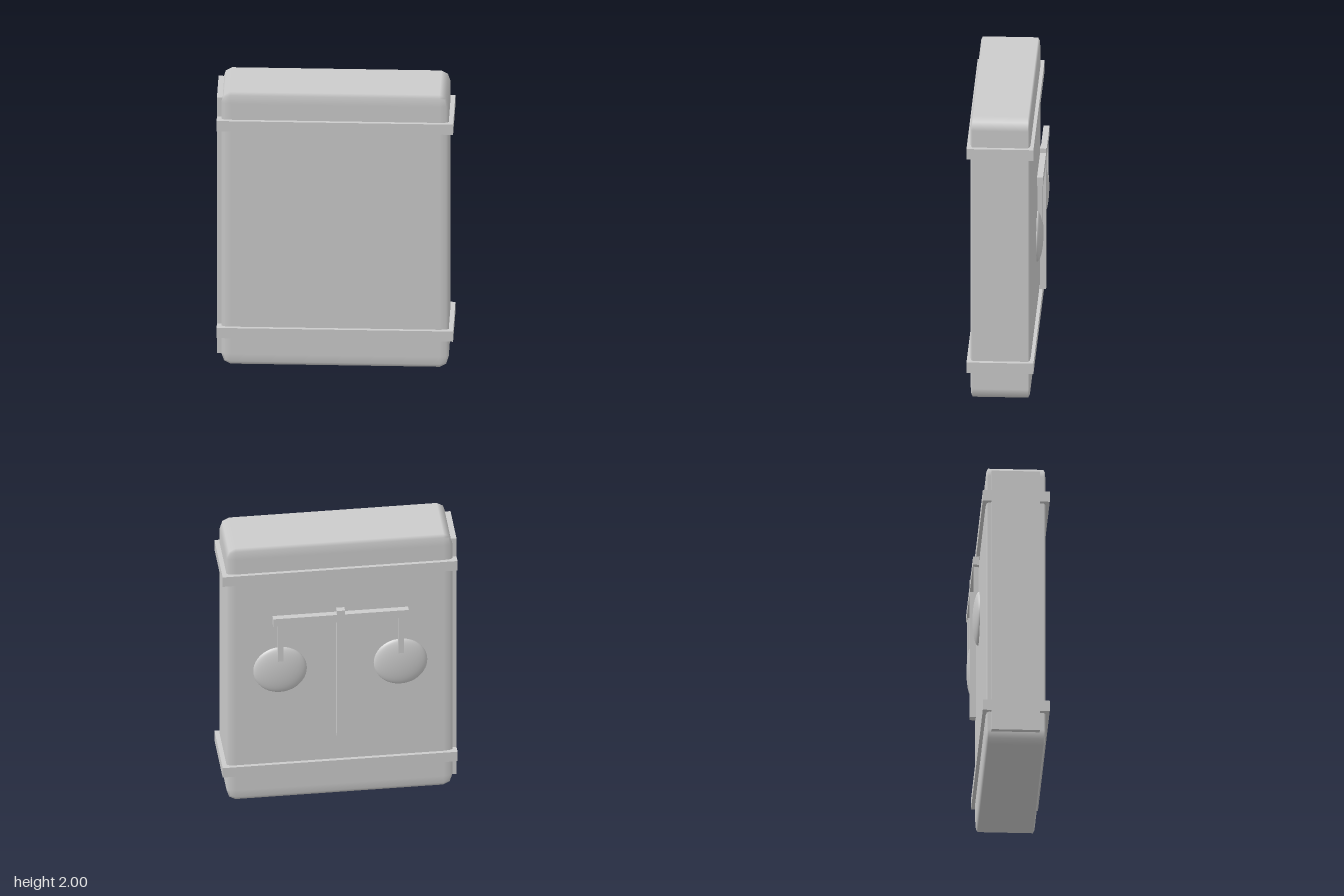
import * as THREE from 'three';
import { RoundedBoxGeometry } from 'three/addons/geometries/RoundedBoxGeometry.js';
import { mergeGeometries } from 'three/addons/utils/BufferGeometryUtils.js';

const grey = new THREE.MeshStandardMaterial({ color: 0xcccccc });
grey.name = 'lightGrey';

function add(parent, name, geometry) {
  const mesh = new THREE.Mesh(geometry, grey);
  mesh.name = name;
  parent.add(mesh);
  return mesh;
}

// Box given by its limits on each axis
function block(parent, name, [x0, x1], [y0, y1], [z0, z1]) {
  const mesh = add(parent, name, new THREE.BoxGeometry(x1 - x0, y1 - y0, z1 - z0));
  mesh.position.set((x0 + x1) / 2, (y0 + y1) / 2, (z0 + z1) / 2);
  return mesh;
}

// Shallow dome bulging towards -z, closed by a flat disc
function panGeometry(radius, depth) {
  const dome = new THREE.SphereGeometry(1, 48, 12, 0, Math.PI * 2, 0, Math.PI / 2);
  dome.scale(radius, depth, radius).rotateX(-Math.PI / 2);
  return mergeGeometries([dome, new THREE.CircleGeometry(radius, 48)]);
}

export function createModel() {
  const model = new THREE.Group();
  model.name = 'boundBook';

  // Body: a bevelled cube stretched to size, so the bevel stretches too
  const bodyShape = new RoundedBoxGeometry(1, 1, 1, 1, 0.04);
  bodyShape.scale(1.5, 2, 0.396);
  add(model, 'body', bodyShape).position.set(0, 1, 0.024);

  // Spine along the -x side
  block(model, 'spine', [-0.78, -0.7], [0.065, 1.945], [-0.14, 0.18]);

  // Straps around the body
  block(model, 'lowerStrap', [-0.78, 0.78], [0.205, 0.28], [-0.197, 0.245]);
  block(model, 'upperStrap', [-0.78, 0.78], [1.727, 1.802], [-0.197, 0.245]);

  // Balance scales on the back
  const scales = new THREE.Group();
  scales.name = 'balanceScales';
  model.add(scales);
  block(scales, 'post', [-0.027, 0.027], [0.503, 1.503], [-0.245, -0.205]);
  block(scales, 'beam', [-0.45, 0.45], [1.412, 1.472], [-0.245, -0.205]);
  for (const side of [-1, 1]) {
    const x = side * 0.4;
    block(scales, 'hanger', [x - 0.018, x + 0.018], [1.1, 1.42], [-0.24, -0.208]);
    add(scales, 'pan', panGeometry(0.178, 0.04)).position.set(x, 1.043, -0.205);
  }
  return model;
}
